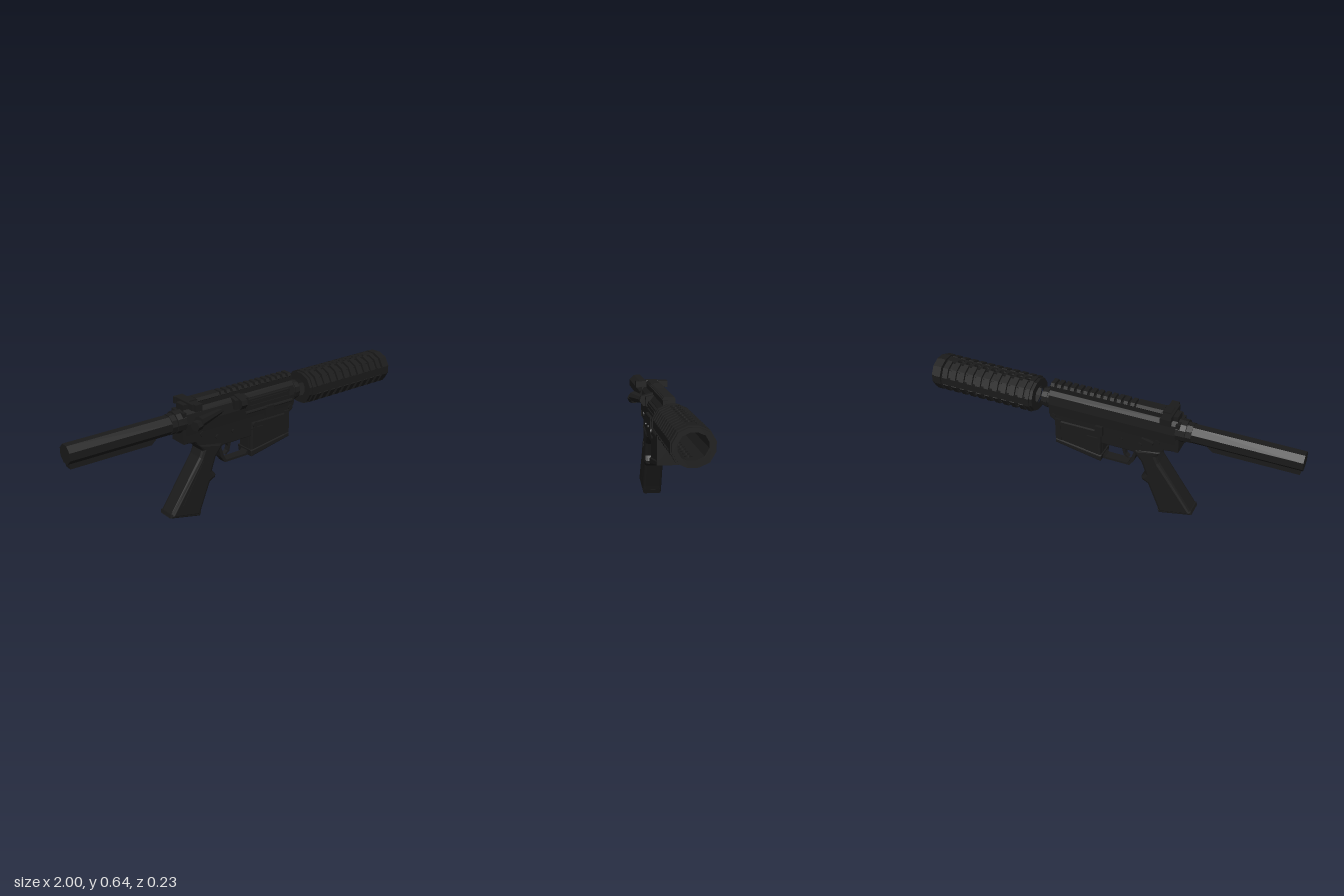
import * as THREE from 'three';

const black = new THREE.MeshStandardMaterial({ color: 0x1b1b1b, flatShading: true });
black.name = 'matte black';

export function createModel() {
  const root = new THREE.Group();
  root.name = 'model';
  const g = new THREE.Group();
  g.name = 'body';
  g.position.z = -0.018;
  root.add(g);

  const add = (name, geo, parent = g) => {
    const m = new THREE.Mesh(geo, black);
    m.name = name;
    parent.add(m);
    return m;
  };
  const box = (name, x0, x1, y0, y1, z0, z1) => {
    const m = add(name, new THREE.BoxGeometry(x1 - x0, y1 - y0, z1 - z0));
    m.position.set((x0 + x1) / 2, (y0 + y1) / 2, (z0 + z1) / 2);
    return m;
  };
  const shape = (pts, Type = THREE.Shape) => new Type(pts.map(p => new THREE.Vector2(p[0], p[1])));
  // side outline in x, y, given thickness across z
  const slab = (name, pts, z0, z1, bevel = 0, hole) => {
    const s = shape(pts);
    if (hole) s.holes.push(shape(hole, THREE.Path));
    const geo = new THREE.ExtrudeGeometry(s, {
      depth: z1 - z0 - 2 * bevel, bevelEnabled: bevel > 0, bevelSize: bevel,
      bevelThickness: bevel, bevelOffset: -bevel, bevelSegments: 2,
    });
    geo.translate(0, 0, z0 + bevel);
    return add(name, geo);
  };
  // cross-section in z, y, swept along x
  const sweep = (name, pts, x0, x1, hole) => {
    const s = shape(pts.map(([z, y]) => [-z, y]));
    if (hole) s.holes.push(shape(hole.map(([z, y]) => [-z, y]), THREE.Path));
    const geo = new THREE.ExtrudeGeometry(s, { depth: x1 - x0, bevelEnabled: false });
    geo.rotateY(Math.PI / 2);
    geo.translate(x0, 0, 0);
    return add(name, geo);
  };
  const tubeX = (name, x0, x1, r0, r1, y, z, n = 12) => {
    const geo = new THREE.CylinderGeometry(r1, r0, x1 - x0, n);
    geo.rotateZ(-Math.PI / 2);
    geo.translate((x0 + x1) / 2, y, z);
    return add(name, geo);
  };
  const pin = (name, x, y, r, z0, z1, n = 10) => {
    const geo = new THREE.CylinderGeometry(r, r, z1 - z0, n);
    geo.rotateX(Math.PI / 2);
    geo.translate(x, y, (z0 + z1) / 2);
    return add(name, geo);
  };

  // Handguard: four flat strips, eight slanted panels with ribs, end rings
  const cy = 0.537;
  const ring = [[0.0975, 0.022], [0.071, 0.068], [0.024, 0.089], [-0.024, 0.089], [-0.071, 0.068], [-0.0975, 0.022],
    [-0.0975, -0.022], [-0.071, -0.068], [-0.024, -0.089], [0.024, -0.089], [0.071, -0.068], [0.0975, -0.022]];
  const scaled = s => ring.map(([z, y]) => [z * s, cy + y * s]);
  const panel = (name, i, x0, x1, inset, thick, holes) => {
    const [az, ay] = ring[i], [bz, by] = ring[(i + 1) % 12];
    const len = Math.hypot(bz - az, by - ay), h = len / 2;
    const s = shape([[x0, -h], [x1, -h], [x1, h], [x0, h]]);
    if (holes) for (let k = 0; k < 9; k++) {
      s.holes.push(new THREE.Path().absarc(0.462 + k * 0.05, 0, 0.018, 0, Math.PI * 2, true));
    }
    const geo = new THREE.ExtrudeGeometry(s, { depth: thick, bevelEnabled: false, curveSegments: 8 });
    geo.translate(0, 0, -thick - inset);
    const X = new THREE.Vector3(1, 0, 0), Y = new THREE.Vector3(0, by - ay, bz - az).normalize();
    const Z = X.clone().cross(Y);
    const mid = new THREE.Vector3(0, (ay + by) / 2, (az + bz) / 2);
    if (Z.dot(mid) < 0) { Y.negate(); Z.negate(); }
    geo.applyMatrix4(new THREE.Matrix4().makeBasis(X, Y, Z).setPosition(0, cy + mid.y, mid.z));
    add(name, geo);
  };
  for (let i = 0; i < 12; i++) {
    if (i % 3 === 2) {
      panel('handguardStrip', i, 0.43, 0.94, 0.004, 0.018, i === 2 || i === 8);
    } else {
      panel('handguardPanel', i, 0.43, 0.94, 0.012, 0.01);
      for (let k = 0; k < 10; k++) panel('handguardRib', i, 0.452 + k * 0.05, 0.48 + k * 0.05, 0, 0.015);
    }
  }
  sweep('handguardRearCap', scaled(0.92), 0.402, 0.418, scaled(0.5));
  sweep('handguardRearRing', scaled(1), 0.418, 0.438, scaled(0.7));
  sweep('handguardFrontRing', scaled(1), 0.945, 0.982, scaled(0.7));
  sweep('handguardFrontLip', scaled(0.93), 0.982, 0.998, scaled(0.7));

  // Upper body
  sweep('upperBody', [[-0.05, 0.47], [0.05, 0.47], [0.054, 0.53], [0.046, 0.58], [0.03, 0.602], [0.03, 0.628],
    [-0.03, 0.628], [-0.03, 0.602], [-0.046, 0.58], [-0.054, 0.53]], -0.37, 0.325);
  const railProfile = [[-0.024, 0.62], [0.024, 0.62], [0.033, 0.63], [0.024, 0.645], [-0.024, 0.645], [-0.033, 0.63]];
  sweep('topRailRear', railProfile, -0.29, -0.15);
  for (let k = 0; k < 13; k++) sweep('topRailTooth', railProfile, -0.14 + k * 0.0365, -0.119 + k * 0.0365);
  tubeX('frontCollar', 0.325, 0.37, 0.05, 0.05, cy, 0);
  tubeX('frontCollarRim', 0.338, 0.356, 0.054, 0.054, cy, 0);
  tubeX('frontPlug', 0.37, 0.378, 0.02, 0.02, cy, 0, 8);

  // Rear pull handle with side latch
  box('pullHandle', -0.345, -0.295, 0.605, 0.637, -0.07, 0.07);
  slab('pullHandleTop', [[-0.345, 0.625], [-0.33, 0.643], [-0.29, 0.643], [-0.27, 0.62]], -0.03, 0.03);
  box('pullHandleEnd', -0.335, -0.295, 0.602, 0.637, 0.068, 0.088);
  box('pullHandleLatch', -0.35, -0.295, 0.602, 0.637, -0.086, -0.068);

  // Angled plunger and deflector on the front side
  const plunger = add('plungerHousing', new THREE.CylinderGeometry(0.012, 0.03, 0.22, 8));
  plunger.rotation.set(0, 0.32, -Math.PI / 2);
  plunger.position.set(-0.22, 0.55, 0.062);
  const knob = add('plungerKnob', new THREE.CylinderGeometry(0.026, 0.026, 0.04, 6));
  knob.rotation.set(0, 0.32, -Math.PI / 2);
  knob.position.set(-0.335, 0.538, 0.1);
  sweep('deflector', [[0.03, 0.545], [0.082, 0.545], [0.1, 0.57], [0.094, 0.595], [0.03, 0.612]], -0.06, -0.025);
  sweep('deflectorBase', [[0.03, 0.545], [0.07, 0.545], [0.072, 0.595], [0.03, 0.605]], -0.082, 0.0);

  // Port cover, hinge and lower flap
  box('portCover', 0.005, 0.285, 0.522, 0.575, 0.04, 0.062);
  for (let k = 0; k < 2; k++) box('portCoverRidge', 0.02, 0.27, 0.532 + k * 0.024, 0.542 + k * 0.024, 0.06, 0.067);
  tubeX('coverHinge', -0.01, 0.3, 0.009, 0.009, 0.508, 0.062, 8);
  box('coverLatch', 0.12, 0.17, 0.46, 0.515, 0.05, 0.072);

  // Rear tube and its lower rail
  tubeX('rearCollar', -0.415, -0.365, 0.058, 0.06, 0.54, 0);
  box('rearPlate', -0.385, -0.365, 0.43, 0.595, -0.05, 0.05);
  tubeX('rearNut', -0.445, -0.41, 0.053, 0.053, 0.537, 0, 10);
  const tube = tubeX('rearTube', -0.998, -0.44, 0.05, 0.05, 0, 0, 8);
  tube.geometry.rotateX(Math.PI / 8);
  tube.position.y = 0.536;
  slab('rearTubeRail', [[-0.998, 0.52], [-0.986, 0.464], [-0.55, 0.464], [-0.525, 0.485], [-0.515, 0.52]], -0.02, 0.02);

  // Lower body
  slab('lowerBody', [[-0.385, 0.5], [-0.385, 0.43], [-0.31, 0.42], [-0.275, 0.375], [-0.26, 0.34], [-0.19, 0.34],
    [-0.14, 0.362], [0.04, 0.362], [0.29, 0.362], [0.29, 0.425], [0.325, 0.45], [0.325, 0.5]], -0.047, 0.047, 0.006);
  slab('magazineWell', [[0.038, 0.44], [0.038, 0.255], [0.288, 0.303], [0.288, 0.44]], -0.052, 0.052, 0.008);
  slab('magazineWellFlare', [[0.03, 0.285], [0.035, 0.25], [0.292, 0.3], [0.292, 0.325]], -0.057, 0.057, 0.006);
  box('wellRib', 0.26, 0.291, 0.31, 0.45, -0.054, 0.054);

  // Trigger and guard
  slab('triggerGuard', [[-0.16, 0.37], [-0.14, 0.285], [-0.115, 0.25], [0.05, 0.25], [0.05, 0.27], [0.05, 0.37]],
    -0.025, 0.025, 0, [[-0.143, 0.355], [-0.12, 0.285], [-0.105, 0.262], [0.02, 0.262], [0.037, 0.285], [0.037, 0.355]]);
  slab('trigger', [[-0.1, 0.37], [-0.085, 0.33], [-0.09, 0.305], [-0.108, 0.29], [-0.1, 0.284], [-0.078, 0.3],
    [-0.07, 0.335], [-0.06, 0.37]], -0.013, 0.013);

  // Grip with finger bump and base
  slab('grip', [[-0.3, 0.405], [-0.27, 0.365], [-0.285, 0.33], [-0.475, 0.05], [-0.295, 0.008], [-0.28, 0.05],
    [-0.227, 0.18], [-0.192, 0.198], [-0.19, 0.215], [-0.212, 0.24], [-0.188, 0.31], [-0.15, 0.355], [-0.15, 0.38]],
  -0.052, 0.052, 0.016);
  slab('gripBase', [[-0.47, 0.068], [-0.475, 0.048], [-0.295, 0.006], [-0.285, 0.03]], -0.05, 0.05, 0.008);
  slab('gripSidePanel', [[-0.27, 0.31], [-0.4, 0.1], [-0.33, 0.08], [-0.235, 0.29]], -0.0545, 0.0545);

  // Pins and controls on both sides
  for (const [x, y, r] of [[-0.27, 0.46, 0.016], [-0.18, 0.42, 0.011], [-0.08, 0.425, 0.009], [0.3, 0.463, 0.014]]) {
    pin('pin', x, y, r, -0.054, 0.054);
  }
  const lever = box('selectorLever', -0.255, -0.19, 0.45, 0.466, -0.064, -0.045);
  lever.rotation.z = 0.25;
  pin('releaseButton', 0.06, 0.425, 0.016, 0.04, 0.06);
  box('releaseFence', 0.035, 0.11, 0.4, 0.41, 0.04, 0.058);
  box('releaseBar', 0.045, 0.11, 0.38, 0.397, -0.06, -0.045);
  box('catchPaddle', 0.02, 0.06, 0.42, 0.475, -0.066, -0.045);
  box('catchArm', 0.03, 0.048, 0.37, 0.43, -0.06, -0.045);
  return root;
}
